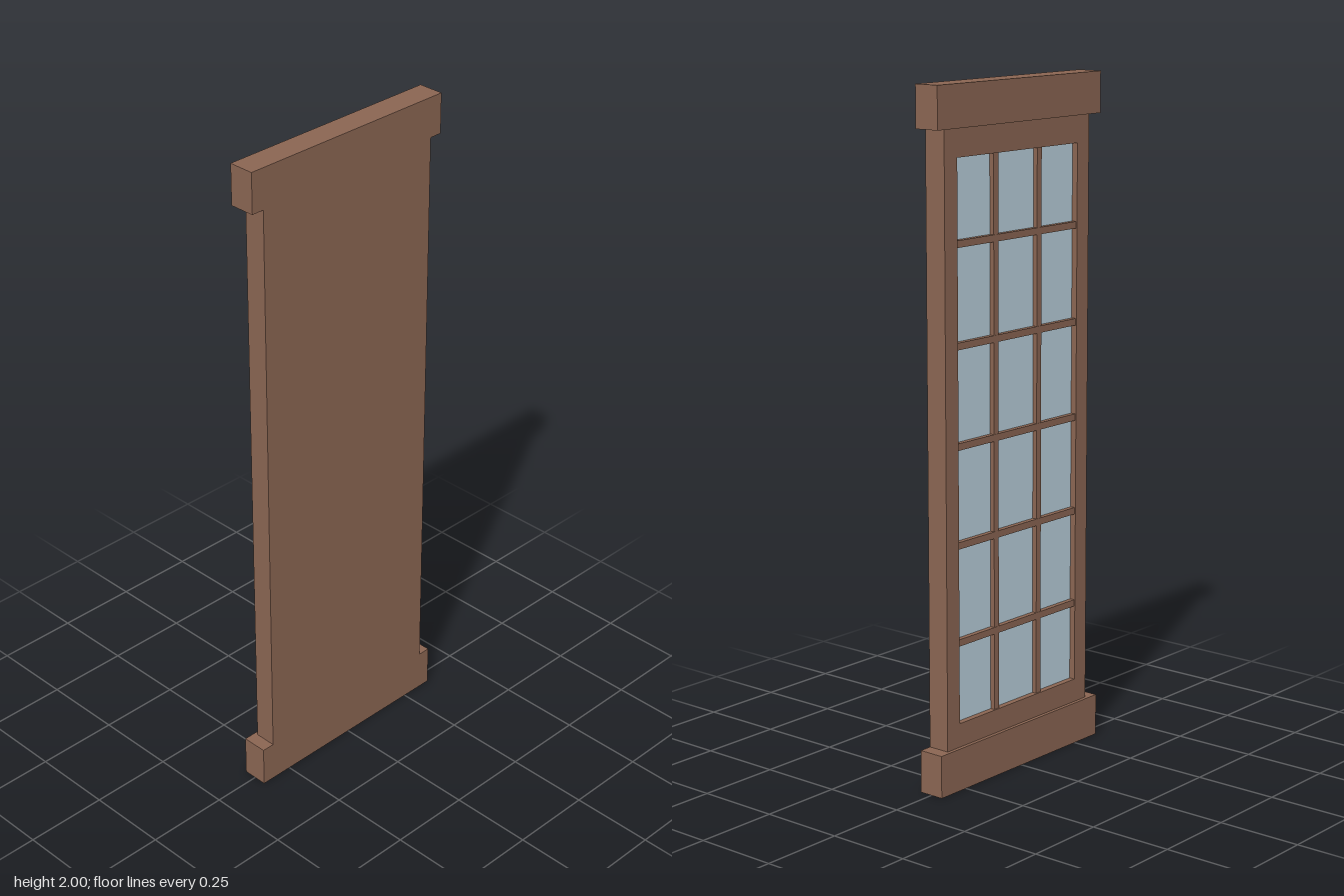
import * as THREE from 'three';

export function createModel() {
  const group = new THREE.Group();
  group.name = 'panedWindow';
  const wood = new THREE.MeshStandardMaterial({ color: 0x8a6552 });
  wood.name = 'brown wood';
  const glass = new THREE.MeshStandardMaterial({ color: 0xb9cfdb });
  glass.name = 'pale blue glass';

  // Box given by its minimum and maximum corners
  const box = (name, material, [x0, y0, z0], [x1, y1, z1]) => {
    const mesh = new THREE.Mesh(new THREE.BoxGeometry(x1 - x0, y1 - y0, z1 - z0), material);
    mesh.position.set((x0 + x1) / 2, (y0 + y1) / 2, (z0 + z1) / 2);
    mesh.name = name;
    group.add(mesh);
  };

  const faceX = -0.028, glassX = -0.01, backX = 0.039;
  const bottom = 0.125, top = 1.88, halfWidth = 0.315;
  const openBottom = 0.195, openTop = 1.8, openHalf = 0.262;

  // Sill and lintel, flush with the backing board
  box('sill', wood, [-0.039, 0, -0.354], [backX, bottom, 0.354]);
  box('lintel', wood, [-0.039, top, -0.354], [backX, 2, 0.354]);

  // Solid backing board
  box('backBoard', wood, [-0.006, bottom, -halfWidth], [backX, top, halfWidth]);

  // Frame with one large opening, extruded and turned to face -x
  const rect = (path, w, y0, y1) =>
    path.moveTo(-w, y0).lineTo(w, y0).lineTo(w, y1).lineTo(-w, y1).closePath();
  const outline = rect(new THREE.Shape(), halfWidth, bottom, top);
  outline.holes.push(rect(new THREE.Path(), openHalf, openBottom, openTop));
  const frameGeometry = new THREE.ExtrudeGeometry(outline, { depth: -0.006 - faceX, bevelEnabled: false });
  frameGeometry.rotateY(-Math.PI / 2).translate(-0.006, 0, 0);
  const frame = new THREE.Mesh(frameGeometry, wood);
  frame.name = 'frame';
  group.add(frame);

  // Glass sheet set into the opening
  box('glass', glass, [glassX, openBottom, -openHalf], [-0.006, openTop, openHalf]);

  // Glazing bars: two upright, five across
  for (const z of [-0.095, 0.095]) {
    box('uprightBar', wood, [-0.024, openBottom, z - 0.01], [glassX, openTop, z + 0.01]);
  }
  for (let i = -2; i <= 2; i++) {
    const y = 0.998 + i * 0.283;
    box('crossBar', wood, [-0.025, y - 0.01, -openHalf], [glassX, y + 0.01, openHalf]);
  }
  return group;
}
